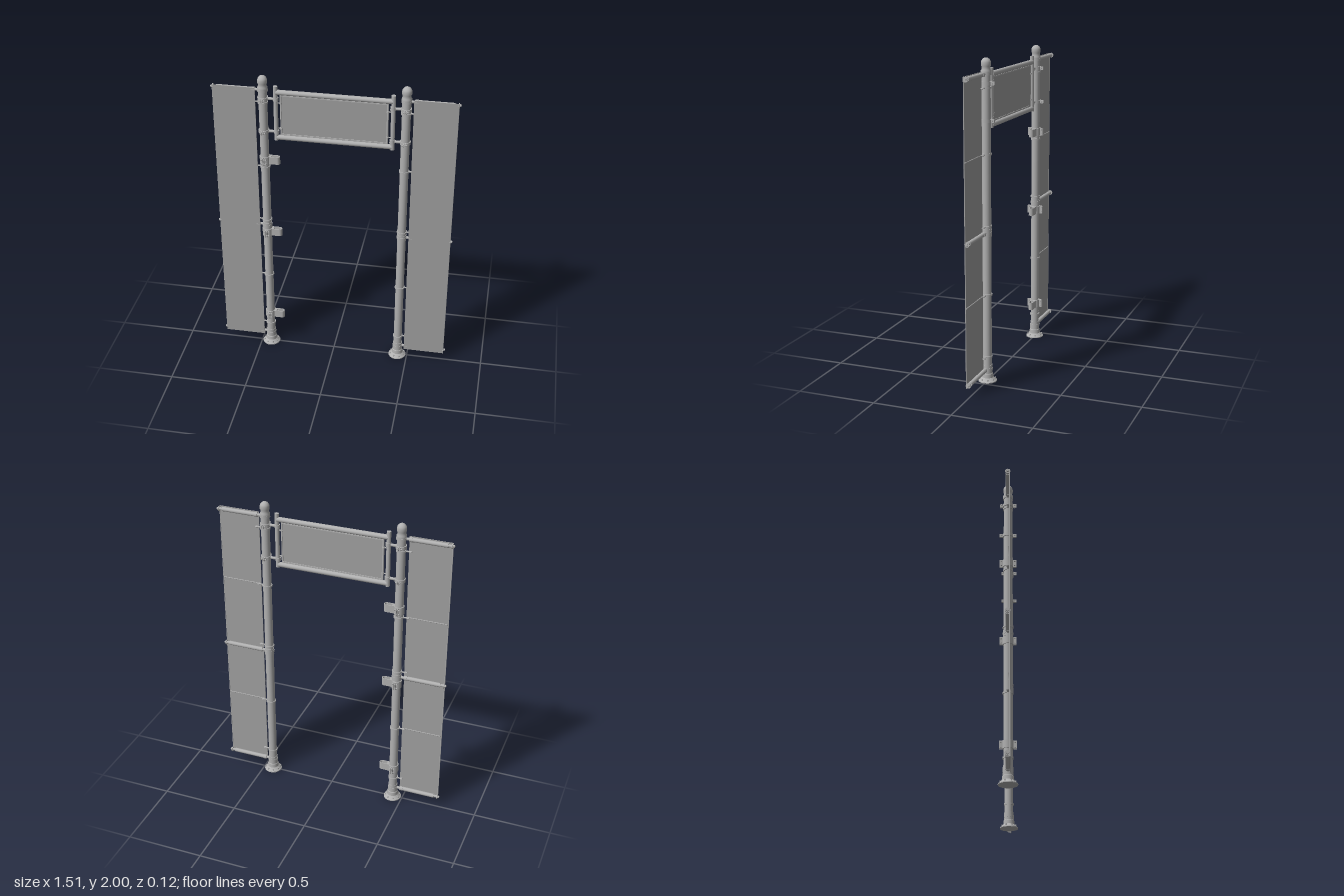
import * as THREE from 'three';

const metal = new THREE.MeshStandardMaterial({ color: 0xb0b0b0 });
metal.name = 'galvanised grey';
const fabric = new THREE.MeshStandardMaterial({ color: 0xa0a0a0, side: THREE.DoubleSide });
fabric.name = 'panel grey';

const POST_X = 0.435;

function add(parent, name, geometry, x = 0, y = 0, z = 0, material = metal) {
  const mesh = new THREE.Mesh(geometry, material);
  mesh.name = name;
  mesh.position.set(x, y, z);
  parent.add(mesh);
  return mesh;
}

// Round bar along one axis
function bar(parent, name, axis, r, length, x, y, z, sides = 20) {
  const g = new THREE.CylinderGeometry(r, r, length, sides);
  if (axis === 'x') g.rotateZ(Math.PI / 2);
  if (axis === 'z') g.rotateX(Math.PI / 2);
  return add(parent, name, g, x, y, z);
}

function box(parent, name, w, h, d, x, y, z, material = metal) {
  return add(parent, name, new THREE.BoxGeometry(w, h, d), x, y, z, material);
}

function lathe(points) {
  return new THREE.LatheGeometry(points.map(([r, y]) => new THREE.Vector2(r, y)), 28);
}

// Doubled points keep the profile's corners sharp
function sharp(points) {
  return lathe(points.flatMap((p) => [p, p]));
}

// Two-part clamp bolted together on the front and back of a post
function postClamp(parent, name, y, height, bolts) {
  const g = new THREE.Group();
  g.name = name;
  g.position.y = y;
  bar(g, 'clampBand', 'y', 0.033, height, 0, 0, 0, 28);
  for (const z of [-0.041, 0.041]) {
    for (const x of [-0.005, 0.005]) box(g, 'clampFlange', 0.005, height, 0.022, x, 0, z);
    for (const by of bolts) bar(g, 'clampBolt', 'x', 0.005, 0.034, 0, by, z, 6);
  }
  parent.add(g);
  return g;
}

function buildPost(side) {
  const post = new THREE.Group();
  post.name = side > 0 ? 'leftPost' : 'rightPost';
  post.position.x = side * POST_X;

  // Flared foot with gussets and anchor bolts
  add(post, 'foot', sharp([[0, 0], [0.058, 0], [0.058, 0.006], [0.05, 0.012], [0.036, 0.026],
    [0.034, 0.05], [0.031, 0.054], [0.031, 0.075], [0.026, 0.078]]));
  for (let i = 0; i < 8; i++) {
    const a = (i + 0.5) * Math.PI / 4;
    bar(post, 'anchorBolt', 'y', 0.005, 0.014, Math.cos(a) * 0.047, 0.014, Math.sin(a) * 0.047, 6);
  }
  bar(post, 'shaft', 'y', 0.027, 1.87, 0, 0.99, 0, 28);

  // Rounded cap above a narrow neck
  add(post, 'cap', lathe([[0.027, 1.9], [0.031, 1.905], [0.031, 1.925], [0.026, 1.93], [0.026, 1.948],
    [0.030, 1.952], [0.030, 1.972], [0.027, 1.982], [0.020, 1.992], [0.010, 1.998], [0, 2]]));

  // Thicker sleeves where the banner arms join
  for (const y of [0.085, 0.95]) bar(post, 'sleeve', 'y', 0.030, 0.045, 0, y, 0, 28);

  // Thin bands with an eyelet reaching out to the banner
  const bands = [0.16, 0.56, 0.95, 0.99, side > 0 ? 1.43 : 1.38, 1.825];
  for (const y of bands) {
    bar(post, 'tieBand', 'y', 0.032, 0.011, 0, y, 0, 28);
    bar(post, 'tieStem', 'x', 0.005, 0.036, side * 0.045, y, 0, 10);
    const eye = add(post, 'tieEyelet', new THREE.TorusGeometry(0.007, 0.003, 8, 16), side * 0.058, y, 0);
    eye.rotation.x = Math.PI / 2;
  }

  // Clamps that carry the overhead frame
  for (const y of [1.63, 1.85]) {
    const clamp = postClamp(post, 'frameClamp', y, 0.02, [0]);
    bar(clamp, 'frameStub', 'x', 0.009, 0.055, -side * 0.052, 0, 0, 14);
    bar(clamp, 'frameCollar', 'y', 0.017, 0.022, -side * 0.08, 0, 0, 20);
  }
  return post;
}

function buildBanner(side) {
  const banner = new THREE.Group();
  banner.name = side > 0 ? 'leftBanner' : 'rightBanner';
  box(banner, 'bannerSheet', 0.265, 1.86, 0.004, side * 0.6125, 0.99, 0.0125, fabric);

  // Supporting arms behind the sheet
  for (const y of [0.08, 0.95, 1.905]) {
    bar(banner, 'armTube', 'x', 0.0135, 0.215, side * 0.612, y, 0);
    bar(banner, 'armRod', 'x', 0.009, 0.29, side * 0.605, y, 0, 14);
    bar(banner, 'armEndDisc', 'x', 0.016, 0.006, side * 0.742, y, 0);
    bar(banner, 'armEndKnob', 'x', 0.008, 0.012, side * 0.75, y, 0, 12);
    bar(banner, 'armSocket', 'x', 0.015, 0.02, side * 0.494, y, 0);
    bar(banner, 'armBand', 'y', 0.032, 0.014, side * POST_X, y, 0, 28);
    bar(banner, 'armStem', 'x', 0.008, 0.04, side * 0.475, y, 0, 12);
  }
  // Slim stretcher wires and edge hem
  for (const y of [0.56, side > 0 ? 1.43 : 1.38]) {
    bar(banner, 'stretcher', 'x', 0.003, 0.25, side * 0.615, y, 0.0085, 8);
  }
  bar(banner, 'outerHem', 'y', 0.003, 1.86, side * 0.7435, 0.99, 0.0115, 8);
  return banner;
}

function buildFrame() {
  const frame = new THREE.Group();
  frame.name = 'overheadFrame';
  for (const y of [1.593, 1.896]) bar(frame, 'frameRail', 'x', 0.016, 0.71, 0, y, 0, 24);
  box(frame, 'signPanel', 0.65, 0.27, 0.005, 0, 1.745, 0, fabric);
  for (const y of [1.617, 1.876]) box(frame, 'panelBatten', 0.65, 0.007, 0.012, 0, y, 0);
  for (const s of [-1, 1]) {
    bar(frame, 'frameUpright', 'y', 0.0135, 0.36, s * 0.357, 1.755, 0);
    bar(frame, 'panelRod', 'y', 0.006, 0.268, s * 0.325, 1.745, 0, 12);
    for (const y of [1.655, 1.825]) {
      bar(frame, 'panelTie', 'x', 0.004, 0.035, s * 0.335, y, 0, 10);
      bar(frame, 'panelTieCollar', 'y', 0.009, 0.01, s * 0.325, y, 0, 14);
    }
  }
  return frame;
}

// Closed strap loop used as a side holder
function strapLoop(height) {
  const stadium = (Path, r) => {
    const p = new Path();
    p.moveTo(0, -r);
    p.lineTo(0.038, -r);
    p.absarc(0.038, 0, r, -Math.PI / 2, Math.PI / 2, false);
    p.lineTo(0, r);
    p.lineTo(0, -r);
    return p;
  };
  const shape = stadium(THREE.Shape, 0.017);
  shape.holes.push(stadium(THREE.Path, 0.012));
  const g = new THREE.ExtrudeGeometry(shape, { depth: height, bevelEnabled: false, curveSegments: 14 });
  return g.rotateX(-Math.PI / 2).translate(0, -height / 2, 0);
}

export function createModel() {
  const model = new THREE.Group();
  model.name = 'gateway';
  for (const side of [-1, 1]) {
    const post = buildPost(side);
    model.add(post, buildBanner(side));
    // Holders on the inner side of one post
    if (side < 0) {
      for (const y of [0.24, 0.9, 1.43]) {
        const holder = postClamp(post, 'sideHolder', y, 0.05, [-0.014, 0.014]);
        add(holder, 'holderLoop', strapLoop(0.05), 0.041);
        box(holder, 'holderBase', 0.016, 0.05, 0.034, 0.035, 0, 0);
      }
    }
  }
  model.add(buildFrame());
  return model;
}
